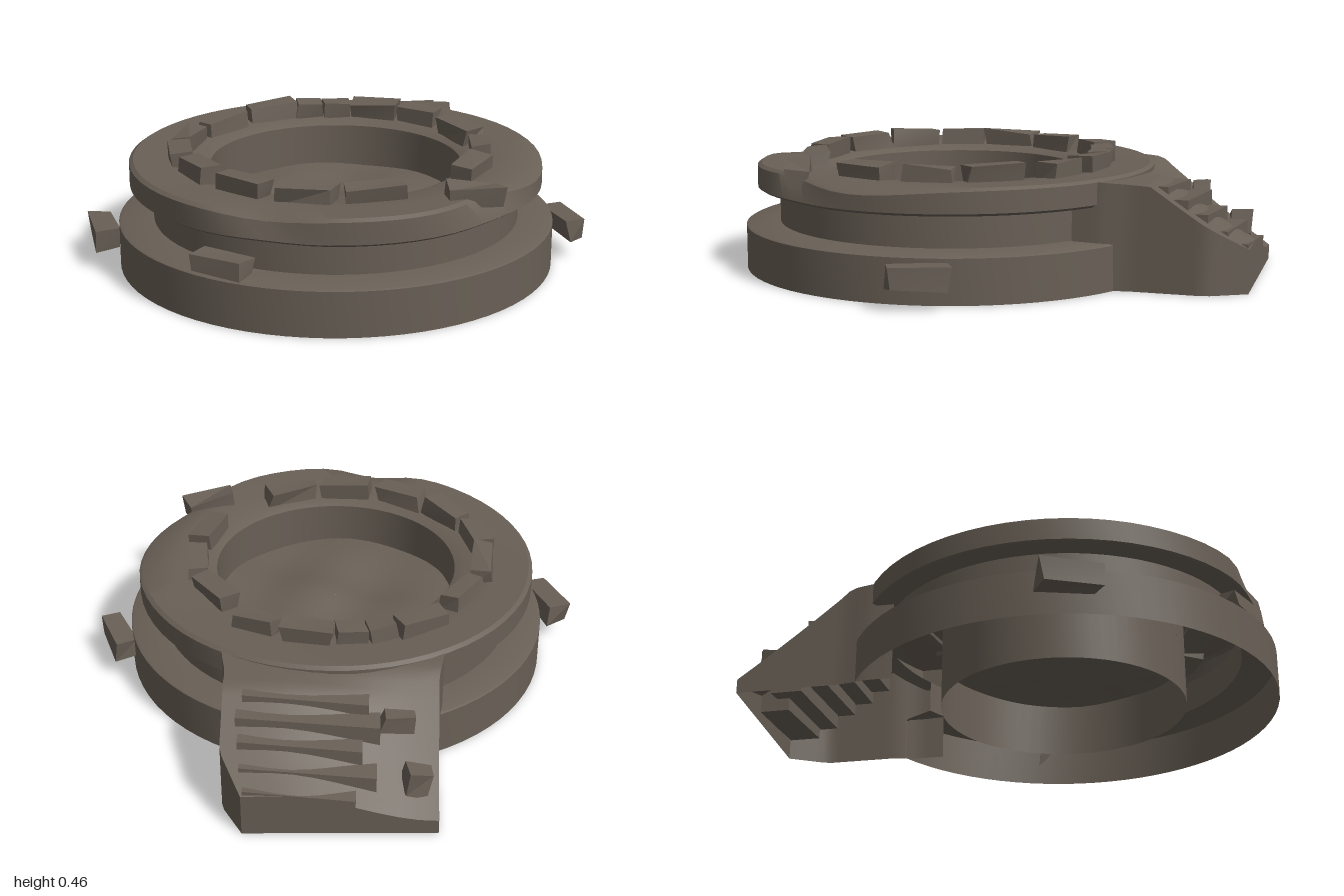
import * as THREE from 'three';
import { toCreasedNormals } from 'three/addons/utils/BufferGeometryUtils.js';

const CZ = 0.185; // z of the ring centre

export function createModel() {
  const model = new THREE.Group();
  model.name = 'ruinedWell';
  const stone = new THREE.MeshStandardMaterial({ color: 0x696056, side: THREE.DoubleSide });
  stone.name = 'weathered stone';

  let seed = 7;
  const rand = () => (seed = (seed * 16807) % 2147483647) / 2147483647;
  const jitter = (a) => (rand() - 0.5) * 2 * a;

  const add = (name, geo, crease = 0.6) => {
    const mesh = new THREE.Mesh(toCreasedNormals(geo, crease), stone);
    mesh.name = name;
    model.add(mesh);
    return mesh;
  };
  const moveVertices = (geo, rule) => {
    const p = geo.attributes.position;
    const v = new THREE.Vector3();
    for (let i = 0; i < p.count; i++) {
      v.fromBufferAttribute(p, i);
      rule(v);
      p.setXYZ(i, v.x, v.y, v.z);
    }
    return geo;
  };
  const lathe = (pts, start = 0, length = Math.PI * 2) =>
    new THREE.LatheGeometry(pts.map(([r, y]) => new THREE.Vector2(r, y)), 64, start, length);
  const bump = (a, centre, width) => Math.exp(-(((a - centre) / width) ** 2));

  // Base and groove, open at the back where the stair joins
  add('base', lathe([[0.81, 0], [0.81, 0.165], [0.8, 0.17], [0.68, 0.175], [0.68, 0.3]],
    Math.PI + 0.48, Math.PI * 2 - 0.96)).position.z = CZ;

  // Overhanging rim with worn, chipped edges
  const rim = lathe([[0.68, 0.3], [0.75, 0.3], [0.765, 0.31], [0.765, 0.39], [0.75, 0.4],
    [0.63, 0.395], [0.5, 0.385], [0.465, 0.37]]);
  moveVertices(rim, (v) => {
    const r = Math.hypot(v.x, v.z);
    if (r < 0.72) return;
    const a = Math.atan2(v.x, v.z);
    const upper = v.y > 0.35 ? 1 : 0.4;
    const cut = upper * (0.055 * bump(a, 0.95, 0.28) + 0.035 * bump(a, -0.2, 0.18));
    v.x *= 1 - cut / r;
    v.z *= 1 - cut / r;
    if (v.y > 0.35) v.y -= 0.025 * bump(a, 1.4, 0.35) + 0.02 * bump(a, -0.2, 0.2);
  });
  add('rim', rim).position.z = CZ;

  // Well shaft and uneven floor
  add('shaft', lathe([[0.465, 0], [0.465, 0.37]])).position.z = CZ;
  const floor = new THREE.RingGeometry(0.001, 0.465, 48, 10).rotateX(-Math.PI / 2);
  moveVertices(floor, (v) => {
    const fade = 1 - Math.hypot(v.x, v.z) / 0.6;
    v.y = 0.21 + fade * (0.018 * Math.sin(v.x * 13 + v.z * 5) + 0.015 * Math.cos(v.z * 15 - v.x * 7));
  });
  add('floor', floor, 1.2).position.z = CZ;

  // Sloping stair block, lower at its right corner; underside left open
  const block = new THREE.BoxGeometry(1, 1, 1, 10, 1, 20);
  const index = block.index.array;
  const kept = [0, 1, 2, 5].flatMap((g) => {
    const { start, count } = block.groups[g];
    return Array.from(index.slice(start, start + count));
  });
  block.clearGroups();
  block.setIndex(kept);
  moveVertices(block, (v) => {
    const s = v.x + 0.5;
    const t = 0.5 - v.z;
    const z = THREE.MathUtils.lerp(-0.38, -0.98 - 0.02 * s, t);
    const right = 0.37 - 0.08 * THREE.MathUtils.clamp((-z - 0.86) / 0.14, 0, 1);
    const flare = 0.02 * THREE.MathUtils.clamp((z + 0.58) / 0.1, 0, 1);
    v.x = THREE.MathUtils.lerp(-0.385 - flare, right + flare, s);
    const fall = (from, to) => {
      const k = THREE.MathUtils.clamp((-z - from) / (1 - from), 0, 1);
      return THREE.MathUtils.lerp(0.392 - 0.06 * Math.max(0, -z - 0.45), to, k);
    };
    const blend = THREE.MathUtils.smoothstep(s, 0, 0.8);
    if (v.y > 0) v.y = THREE.MathUtils.lerp(fall(0.55, 0.04), fall(0.66, 0.16), blend);
    else v.y = 0;
    v.z = z;
  });
  add('stairBlock', block, 0.7);

  // Worn treads: left end, right end, back edge, top
  for (const [x0, x1, z, y] of [[-0.14, 0.3, -0.71, 0.372], [-0.18, 0.32, -0.785, 0.33],
    [-0.12, 0.31, -0.855, 0.28], [-0.17, 0.3, -0.925, 0.222], [-0.1, 0.285, -0.995, 0.178]]) {
    const tread = new THREE.BoxGeometry(x1 - x0, 0.1, 0.12);
    tread.translate((x0 + x1) / 2, y - 0.05, z + 0.06);
    // sink the right end of each tread into the slope
    moveVertices(tread, (v) => { if (v.x < 0) v.y -= 0.035; });
    add('tread', tread);
  }

  // Rough stones: boxes with uneven corners
  const brick = (name, x, y, z, turn, [w, h, d], tilt = 0) => {
    const corners = Array.from({ length: 8 }, () => [jitter(0.012), jitter(0.009), jitter(0.012)]);
    const geo = moveVertices(new THREE.BoxGeometry(w, h, d), (v) => {
      const c = corners[(v.x > 0 ? 1 : 0) + (v.y > 0 ? 2 : 0) + (v.z > 0 ? 4 : 0)];
      v.set(v.x + c[0], v.y + c[1], v.z + c[2]);
    });
    const mesh = add(name, geo, 0.3);
    mesh.position.set(x, y, z);
    mesh.rotation.set(0, turn, tilt);
  };

  // Broken kerb around the opening: x, z, length
  for (const [x, z, length] of [[-0.32, -0.29, 0.2], [-0.18, -0.355, 0.11], [-0.07, -0.37, 0.1],
    [0.085, -0.37, 0.18], [0.27, -0.31, 0.17], [0.445, -0.105, 0.2], [0.53, 0.115, 0.18],
    [0.51, 0.355, 0.2], [0.2, 0.68, 0.21], [-0.03, 0.73, 0.2], [-0.26, 0.66, 0.19],
    [-0.44, 0.52, 0.19], [-0.545, 0.345, 0.17], [-0.57, 0.135, 0.21], [-0.48, -0.09, 0.2]]) {
    brick('kerbStone', x, 0.408, z, Math.atan2(x, z - CZ), [length, 0.075, 0.08], jitter(0.04));
  }

  // Fallen and jutting stones
  brick('fallenStone', 0.535, 0.4, 0.615, 0.42, [0.2, 0.065, 0.085], -0.1);
  brick('ledgeStone', -0.3, 0.205, 0.885, -0.4, [0.2, 0.065, 0.08]);
  brick('leftJuttingStone', 0.855, 0.108, 0.04, -1.1, [0.21, 0.075, 0.075]);
  brick('rightJuttingStone', -0.85, 0.106, 0.345, -1.15, [0.21, 0.08, 0.09]);
  brick('stairStone', -0.31, 0.15, -0.875, 0.25, [0.09, 0.08, 0.08], 0.3);
  brick('stairStone', -0.24, 0.29, -0.73, 0.2, [0.11, 0.07, 0.06], 0.2);

  return model;
}
